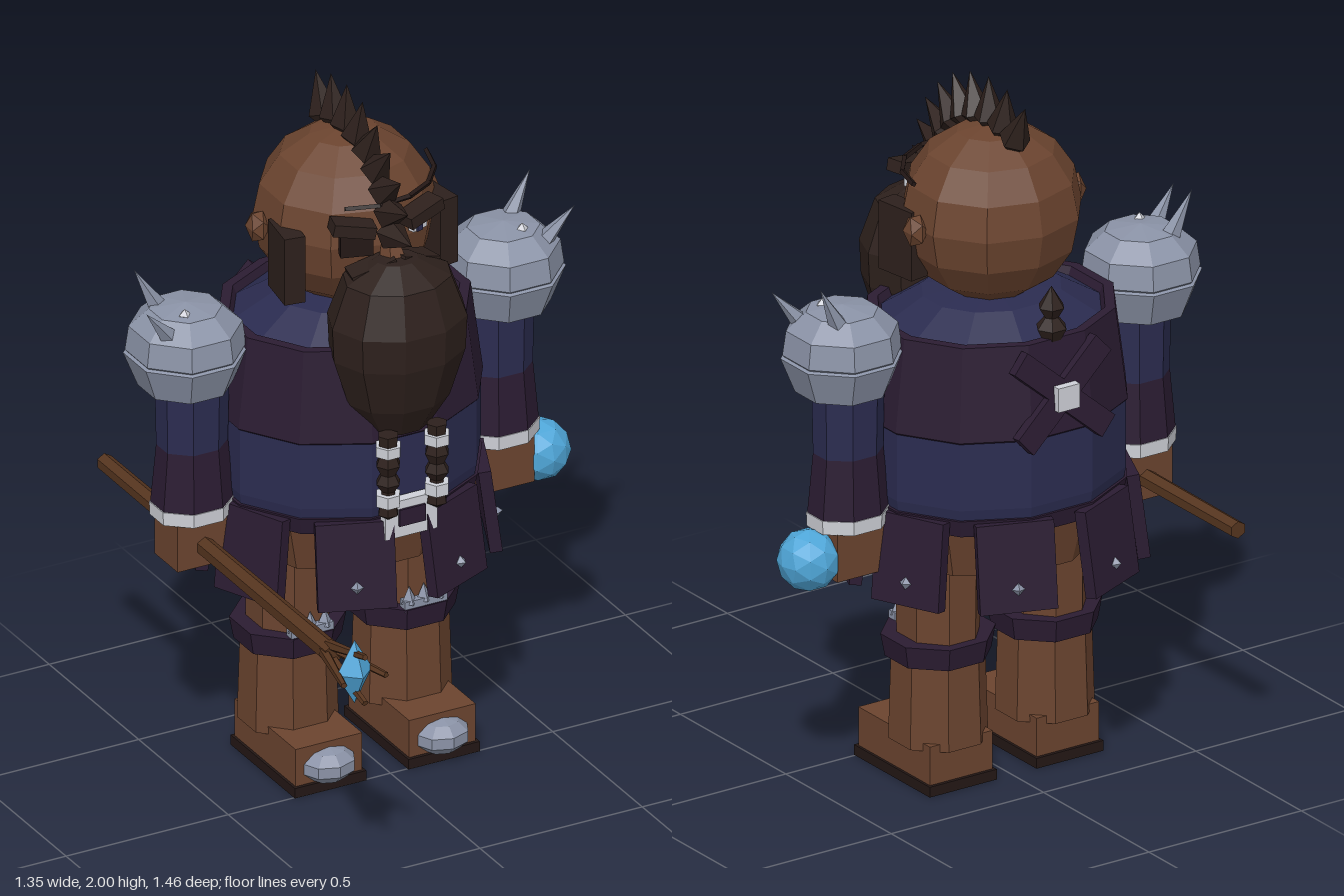
import * as THREE from 'three';

const paint = (name, color) => {
  const m = new THREE.MeshStandardMaterial({ color });
  m.name = name;
  return m;
};

export function createModel() {
  const skin = paint('skin brown', 0x6b442f);
  const wood = paint('wood brown', 0x56351f);
  const hair = paint('dark hair', 0x2d201c);
  const sole = paint('sole black', 0x231715);
  const blue = paint('cloth blue', 0x2b2c50);
  const purple = paint('leather purple', 0x2b1c32);
  const silver = paint('steel', 0x8b93a7);
  const white = paint('pale metal', 0xcfd1d8);
  const crystal = paint('crystal blue', 0x4fa6d8);

  const model = new THREE.Group();
  model.name = 'warrior';
  const body = new THREE.Group();
  body.name = 'figure';
  body.position.set(-0.012, 0, -0.235);
  model.add(body);

  // Faceted mesh: split vertices give flat normals
  const add = (parent, name, geo, mat, pos = [0, 0, 0], rot = [0, 0, 0], scale = [1, 1, 1]) => {
    const g = geo.index ? geo.toNonIndexed() : geo;
    g.computeVertexNormals();
    const m = new THREE.Mesh(g, mat);
    m.name = name;
    m.position.set(...pos);
    m.rotation.set(...rot);
    m.scale.set(...scale);
    parent.add(m);
    return m;
  };
  const group = (parent, name, pos = [0, 0, 0], ry = 0) => {
    const g = new THREE.Group();
    g.name = name;
    g.position.set(...pos);
    g.rotation.y = ry;
    parent.add(g);
    return g;
  };
  const box = (x, y, z) => new THREE.BoxGeometry(x, y, z);
  const cyl = (rt, rb, h, n = 8) => new THREE.CylinderGeometry(rt, rb, h, n).rotateY(Math.PI / n);
  const lathe = (pts, n) => new THREE.LatheGeometry(pts.map(p => new THREE.Vector2(...p)), n).rotateY(Math.PI / n);
  // Cone or rod running between two points
  const rod = (parent, name, a, b, r0, r1, n, mat) => {
    const A = new THREE.Vector3(...a), d = new THREE.Vector3(...b).sub(A);
    const m = add(parent, name, new THREE.CylinderGeometry(r1, r0, d.length(), n), mat);
    m.position.copy(A).addScaledVector(d, 0.5);
    m.quaternion.setFromUnitVectors(new THREE.Vector3(0, 1, 0), d.normalize());
    return m;
  };

  // Torso: oval barrel in bands, sloping collar on top
  const oval = [1, 1, 0.9];
  add(body, 'tunic', lathe([[0, 0.8], [0.37, 0.8], [0.385, 0.88], [0.385, 1.08], [0, 1.08]], 12), blue, [0, 0, 0], [0, 0, 0], oval);
  add(body, 'mantle', lathe([[0.37, 1.06], [0.39, 1.08], [0.355, 1.345], [0.325, 1.345], [0.31, 1.31]], 12), purple, [0, 0, 0], [0, 0, 0], oval);
  add(body, 'collar', lathe([[0.335, 1.31], [0.2, 1.39], [0, 1.41]], 12), blue, [0, 0, 0], [0, 0, 0], oval);
  add(body, 'belt', cyl(0.388, 0.375, 0.05, 12), purple, [0, 0.825, 0], [0, 0, 0], oval);
  add(body, 'hips', cyl(0.34, 0.29, 0.18, 10), skin, [0, 0.74, 0], [0, 0, 0], [1, 1, 0.92]);

  // Buckle frame
  const buckle = group(body, 'buckle', [0, 0.85, 0.36]);
  add(buckle, 'buckleFrame', box(0.16, 0.11, 0.03), white);
  add(buckle, 'buckleCentre', box(0.08, 0.05, 0.008), purple, [0, 0.005, 0.018]);

  // Skirt plates with studs
  for (let i = 0; i < 8; i++) {
    const a = Math.PI * (i + 0.5) / 4;
    const plate = group(body, 'skirtPlate', [Math.sin(a) * 0.39, 0.72, Math.cos(a) * 0.36], a);
    const panel = add(plate, 'platePanel', box(0.215, 0.25, 0.035), purple, [0, 0, 0], [-0.13, 0, 0.02]);
    add(panel, 'plateStud', new THREE.OctahedronGeometry(0.018), silver, [0, -0.06, 0.02]);
  }

  // Crossed back straps and clasp
  for (const s of [-1, 1]) {
    add(body, 'backStrap', box(0.07, 0.36, 0.03), purple, [0, 1.19, -0.335], [0.1, 0, s * 0.85]);
  }
  add(body, 'backClasp', box(0.07, 0.07, 0.03), white, [0, 1.19, -0.355]);

  // Knotted tail of hair behind the neck
  add(body, 'backKnot', lathe([[0, 1.31], [0.025, 1.33], [0.045, 1.37], [0.02, 1.4], [0.038, 1.43], [0, 1.49]], 6), hair, [0, 0, -0.285]);

  // Head
  const head = group(body, 'head', [0, 1.62, 0]);
  add(head, 'skull', new THREE.SphereGeometry(0.253, 10, 8), skin, [0, 0, 0], [0, 0.31, 0], [1.02, 1, 0.98]);
  add(head, 'nose', cyl(0.02, 0.045, 0.1, 5), skin, [0, -0.01, 0.265], [-0.25, 0, 0]);
  for (const s of [-1, 1]) {
    add(head, 'ear', new THREE.IcosahedronGeometry(0.045), skin, [s * 0.26, 0, -0.015], [0, 0, 0], [0.7, 1.1, 0.9]);
    add(head, 'sideburn', box(0.06, 0.2, 0.13), hair, [s * 0.228, -0.065, 0.09], [0, s * 0.15, 0]);
    add(head, 'brow', box(0.12, 0.035, 0.06), hair, [s * 0.105, 0.07, 0.235], [0, s * 0.25, s * 0.2]);
    add(head, 'moustache', box(0.13, 0.06, 0.07), hair, [s * 0.06, -0.06, 0.27], [0, s * 0.2, -s * 0.3]);
  }
  add(head, 'eyePatch', box(0.09, 0.075, 0.03), sole, [-0.1, 0.03, 0.245], [0, -0.3, 0]);
  add(head, 'eye', box(0.055, 0.03, 0.02), white, [0.1, 0.03, 0.228], [0, 0.35, 0]);
  add(head, 'pupil', box(0.022, 0.03, 0.008), blue, [0.098, 0.03, 0.241], [0, 0.35, 0]);
  // Patch strap around the brow
  const strap = [-0.5, -0.1, 0.3, 0.7, 1.1, 1.5].map(a => [Math.sin(a) * 0.243, 0.12, Math.cos(a) * 0.243]);
  for (let i = 0; i < 5; i++) rod(head, 'patchStrap', strap[i], strap[i + 1], 0.008, 0.008, 4, sole);

  // Mohawk fan of spikes
  for (let i = 0; i < 9; i++) {
    const t = THREE.MathUtils.degToRad(83 - i * 13.5);
    add(head, 'mohawkSpike', lathe([[0, -0.08], [0.045, -0.03], [0, 0.09]], 5), hair,
      [0, 0.005 + Math.cos(t) * 0.285, Math.sin(t) * 0.29], [t, 0, 0]);
  }

  // Beard with two beaded braids
  add(body, 'beard', lathe([[0, 1.08], [0.09, 1.1], [0.15, 1.19], [0.195, 1.33], [0.2, 1.43], [0.155, 1.55], [0.06, 1.6], [0, 1.6]], 10),
    hair, [0, 0, 0.295], [0, 0, 0], [1, 1, 0.84]);
  for (const s of [-1, 1]) {
    const braid = group(body, 'beardBraid', [s * 0.075, 0, 0.38]);
    add(braid, 'braidStrand', lathe([[0, 0.86], [0.03, 0.88], [0.02, 0.95], [0.036, 0.975], [0.022, 1], [0.036, 1.03], [0.025, 1.06], [0.03, 1.12], [0, 1.12]], 6), hair);
    add(braid, 'upperRing', cyl(0.038, 0.038, 0.03, 6), white, [0, 1.075, 0]);
    add(braid, 'lowerRing', cyl(0.036, 0.036, 0.035, 6), white, [0, 0.925, 0]);
  }

  for (const s of [-1, 1]) {
    // Arm
    const arm = group(body, s > 0 ? 'leftArm' : 'rightArm', [s * 0.47, 0, 0]);
    add(arm, 'upperArm', cyl(0.105, 0.1, 0.26), blue, [0, 1.13, 0], [0, 0, 0], [1, 1, 0.85]);
    add(arm, 'forearm', cyl(0.1, 0.118, 0.19), purple, [0, 0.935, 0], [0, 0, 0], [1, 1, 0.85]);
    add(arm, 'cuff', cyl(0.12, 0.118, 0.04), white, [0, 0.833, 0], [0, 0, 0], [1, 1, 0.85]);
    add(arm, 'hand', box(0.16, 0.14, 0.13), skin, [0, 0.745, 0]);

    // Spiked shoulder guard
    const guard = group(arm, 'shoulderGuard', [s * 0.02, 0, 0]);
    add(guard, 'guardDome', lathe([[0.13, 1.28], [0.165, 1.32], [0.155, 1.39], [0.1, 1.44], [0, 1.455]], 8), silver);
    add(guard, 'guardRim', lathe([[0, 1.2], [0.13, 1.21], [0.17, 1.31], [0.14, 1.325]], 8), silver);
    rod(guard, 'guardSpike', [s * 0.04, 1.4, -0.06], [s * 0.12, 1.55, -0.07], 0.034, 0, 5, silver);
    rod(guard, 'guardSpike', [s * 0.07, 1.38, 0.06], [s * 0.17, 1.5, 0.09], 0.034, 0, 5, silver);
    add(guard, 'guardStud', new THREE.OctahedronGeometry(0.018), white, [s * 0.03, 1.445, 0.05]);

    // Leg and boot
    const leg = group(body, s > 0 ? 'leftLeg' : 'rightLeg', [s * 0.175, 0, 0]);
    add(leg, 'thigh', cyl(0.115, 0.112, 0.3), skin, [0, 0.57, 0], [0, 0, 0], [1, 1, 1.12]);
    add(leg, 'shin', cyl(0.13, 0.138, 0.26), skin, [0, 0.25, 0]);
    add(leg, 'kneeBand', cyl(0.16, 0.148, 0.065), purple, [0, 0.395, 0], [0, 0, 0], [1, 1, 0.98]);
    add(leg, 'kneeGuard', box(0.13, 0.03, 0.03), silver, [0, 0.435, 0.125]);
    for (const k of [-1, 0, 1]) {
      add(leg, 'kneeSpike', new THREE.ConeGeometry(0.024, 0.05, 4), silver, [k * 0.045, 0.465, 0.125]);
    }
    add(leg, 'boot', box(0.205, 0.115, 0.34), skin, [0, 0.085, 0.06]);
    add(leg, 'bootSole', box(0.22, 0.03, 0.36), sole, [0, 0.015, 0.06]);
    add(leg, 'toeCap', new THREE.SphereGeometry(0.08, 8, 5), silver, [0, 0.075, 0.225], [0, 0, 0], [1.03, 0.64, 0.9]);
  }

  // Crystal orb held outside the left hand
  add(model, 'orb', new THREE.IcosahedronGeometry(0.088, 1), crystal, [0.587, 0.733, -0.235]);

  // Staff held level, pronged around a crystal
  const staff = group(model, 'staff', [-0.478, 0.735, 0]);
  rod(staff, 'staffShaft', [0, 0, -0.732], [0, 0, 0.55], 0.025, 0.03, 6, wood);
  for (const [x, y] of [[1, 0], [-1, 0], [0, 1], [0, -1]]) {
    rod(staff, 'staffProng', [x * 0.015, y * 0.015, 0.52], [x * 0.065, y * 0.07, 0.725], 0.016, 0.009, 5, wood);
  }
  add(staff, 'staffCrystal', new THREE.OctahedronGeometry(0.055), crystal, [0, 0, 0.665], [0, 0, 0], [1, 1.75, 0.9]);

  return model;
}
